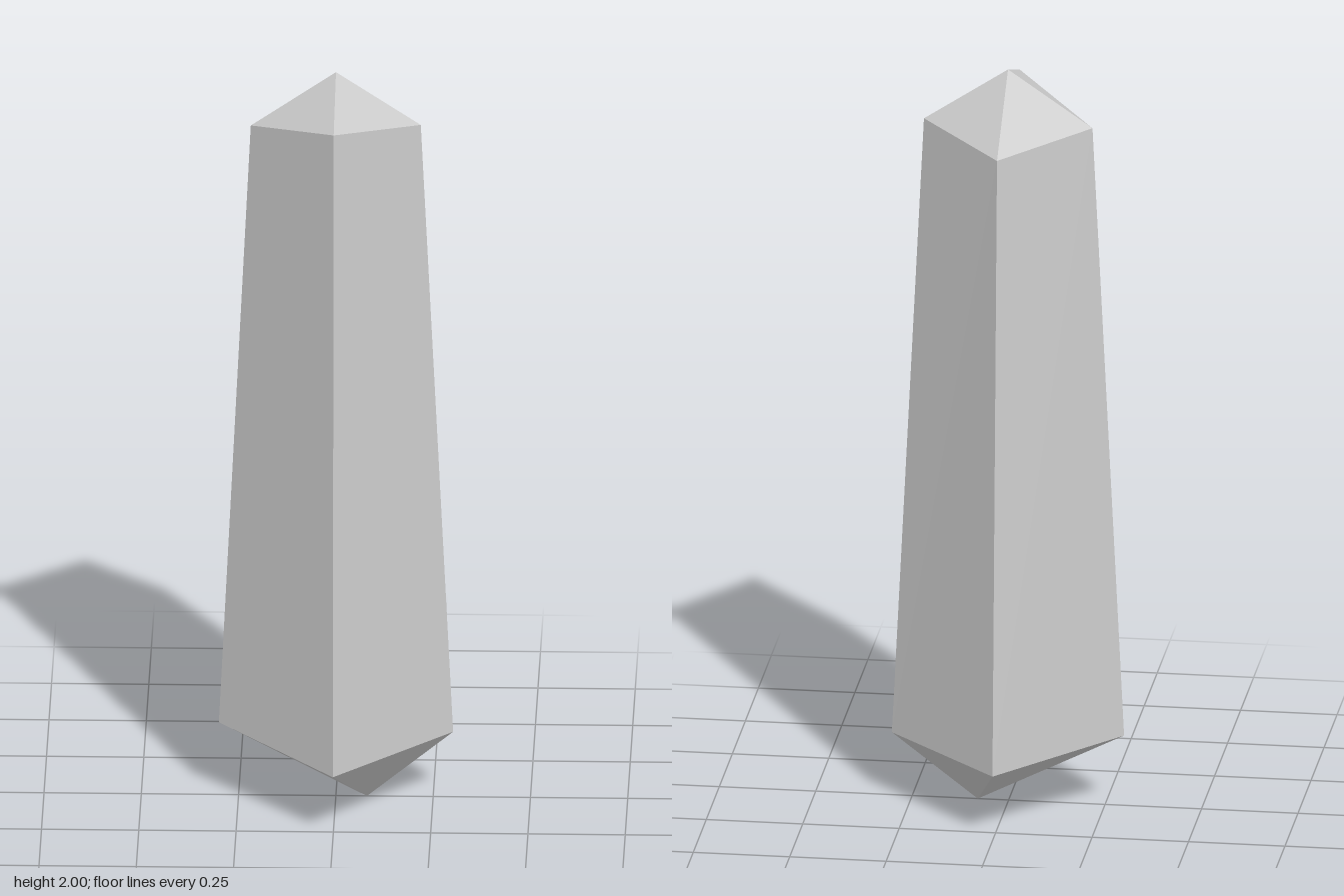
import * as THREE from 'three';

// Build a flat-shaded mesh from triangles given as corner points
function facetMesh(name, triangles, material) {
  const geometry = new THREE.BufferGeometry();
  geometry.setAttribute('position', new THREE.Float32BufferAttribute(triangles.flat(2), 3));
  geometry.computeVertexNormals();
  const mesh = new THREE.Mesh(geometry, material);
  mesh.name = name;
  return mesh;
}

export function createModel() {
  const group = new THREE.Group();
  group.name = 'crystal';
  const material = new THREE.MeshStandardMaterial({ color: 0xcccccc, flatShading: true });

  // Uneven four-corner rings: front, left, back, right
  const lower = [[0, 0.175, 0.308], [0.301, 0.175, -0.012], [0, 0.175, -0.31], [-0.301, 0.195, -0.012]];
  const upper = [[0, 1.917, 0.218], [0.218, 1.856, -0.011], [0, 1.826, -0.223], [-0.219, 1.85, -0.011]];
  const peak = [0, 2, -0.011];
  const tip = [0.08, 0, 0];

  const shaft = [], cap = [], point = [];
  for (let i = 0; i < 4; i++) {
    const j = (i + 1) % 4;
    shaft.push([lower[i], lower[j], upper[j]], [lower[i], upper[j], upper[i]]);
    cap.push([upper[i], upper[j], peak]);
    point.push([lower[j], lower[i], tip]);
  }

  // Tapered shaft, faceted top and off-centre bottom point
  group.add(
    facetMesh('shaft', shaft, material),
    facetMesh('topCap', cap, material),
    facetMesh('bottomPoint', point, material),
  );
  return group;
}
